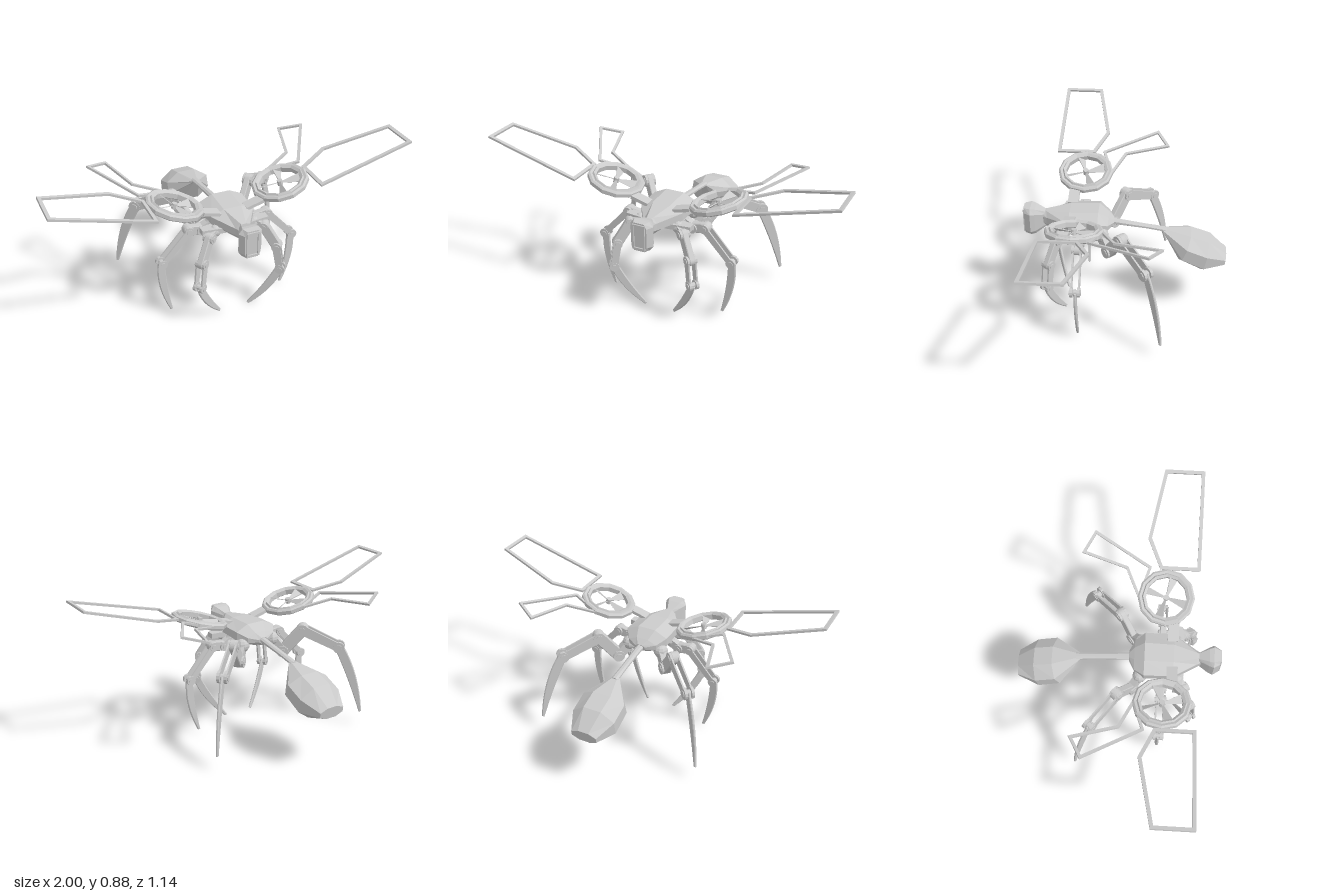
import * as THREE from 'three';

const mat = new THREE.MeshStandardMaterial({ color: 0xcccccc, flatShading: true, side: THREE.DoubleSide });

function add(parent, name, geometry, x = 0, y = 0, z = 0) {
  const mesh = new THREE.Mesh(geometry, mat);
  mesh.name = name;
  mesh.position.set(x, y, z);
  parent.add(mesh);
  return mesh;
}

// Eight-sided loft, front to back. Section: [topZ, topY, bottomZ, bottomY, halfWidth]
// corner is the share of each side left flat between the chamfers
function loft(sections, corner = 0.414) {
  const c = corner, n = 8, pos = [], idx = [];
  const ring = [[1, c], [c, 1], [-c, 1], [-1, c], [-1, -c], [-c, -1], [c, -1], [1, -c]];
  for (const [tz, ty, bz, by, w] of sections) {
    for (const [u, v] of ring) {
      pos.push(u * w, (ty + by) / 2 + (ty - by) * v / 2, (tz + bz) / 2 + (tz - bz) * v / 2);
    }
  }
  const last = (sections.length - 1) * n;
  for (let i = 0; i < last; i += n) {
    for (let j = 0; j < n; j++) {
      const a = i + j, b = i + (j + 1) % n;
      idx.push(a, a + n, b, b, a + n, b + n);
    }
  }
  for (let j = 1; j < n - 1; j++) idx.push(0, j, j + 1, last, last + j + 1, last + j);
  const g = new THREE.BufferGeometry();
  g.setAttribute('position', new THREE.Float32BufferAttribute(pos, 3));
  g.setIndex(idx);
  const flat = g.toNonIndexed();
  flat.computeVertexNormals();
  return flat;
}

const polygon = coords => new THREE.Shape(coords.map(([x, y]) => new THREE.Vector2(x, y)));

// Extrusion centred on its depth
function plate(shape, depth, bevel = 0) {
  const g = new THREE.ExtrudeGeometry(shape, {
    depth, curveSegments: 8, bevelEnabled: bevel > 0, bevelSize: bevel, bevelThickness: bevel, bevelSegments: 1,
  });
  return g.translate(0, 0, -depth / 2);
}

// Flat closed frame with mitred inner corners
function frame(coords, width, depth) {
  const p = coords.map(([x, y]) => new THREE.Vector2(x, y));
  if (THREE.ShapeUtils.isClockWise(p)) p.reverse();
  const n = p.length;
  const inner = p.map((c, i) => {
    const d1 = c.clone().sub(p[(i + n - 1) % n]).normalize();
    const d2 = p[(i + 1) % n].clone().sub(c).normalize();
    const n1 = new THREE.Vector2(-d1.y, d1.x), n2 = new THREE.Vector2(-d2.y, d2.x);
    return c.clone().add(n1.clone().add(n2).multiplyScalar(width / (1 + n1.dot(n2))));
  });
  const shape = new THREE.Shape(p);
  shape.holes.push(new THREE.Path(inner.reverse()));
  return plate(shape, depth);
}

// Round-ended link between two joints in the plane of a leg
function link(a, b, r1, r2) {
  const t = Math.atan2(b[1] - a[1], b[0] - a[0]), q = Math.PI / 2;
  const s = new THREE.Shape();
  s.absarc(a[0], a[1], r1, t + q, t + 3 * q, false);
  s.absarc(b[0], b[1], r2, t - q, t + q, false);
  return s;
}

// Curved blade from the origin that narrows to a point
function clawShape(tx, ty, w, bulge) {
  const d = new THREE.Vector2(tx, ty).normalize();
  const at = (t, o) => [tx * t - d.y * o, ty * t + d.x * o];
  const s = new THREE.Shape();
  s.moveTo(...at(0, -w * 0.5));
  s.lineTo(...at(0, w * 0.5));
  s.quadraticCurveTo(...at(0.45, bulge + w), ...at(1, 0.004));
  s.lineTo(...at(1, -0.004));
  s.quadraticCurveTo(...at(0.45, bulge - w * 0.4), ...at(0, -w * 0.5));
  return s;
}

// Leg built outward along local x: points are hip, inner joint, knee, ankle, tip
function makeLeg(name, x, z, angle, side, pts, r, bulge, shinWidth, clawYaw = 0) {
  const leg = new THREE.Group();
  leg.name = name;
  leg.position.set(side * x, 0, z);
  leg.rotation.y = side > 0 ? -angle : Math.PI + angle;
  const [hip, inner, knee, ankle, tip] = pts;
  add(leg, 'hipBall', new THREE.SphereGeometry(r * 1.2, 10, 8), hip[0], hip[1]);
  add(leg, 'hipLink', plate(link(hip, inner, r * 0.9, r * 0.8), 0.04));
  add(leg, 'thigh', plate(link(inner, knee, r * 0.9, r * 0.9), 0.026, 0.004));
  for (const s of [-1, 1]) {
    add(leg, 'shinPlate', plate(link(knee, ankle, r * shinWidth, r * shinWidth * 0.85), 0.009), 0, 0, s * 0.021);
  }
  for (const [jx, jy] of [inner, knee, ankle]) {
    add(leg, 'jointPin', new THREE.CylinderGeometry(r * 0.55, r * 0.55, 0.064, 10).rotateX(Math.PI / 2), jx, jy);
    for (const s of [-1, 1]) {
      add(leg, 'jointDisc', new THREE.CylinderGeometry(r, r, 0.016, 12).rotateX(Math.PI / 2), jx, jy, s * 0.02);
    }
  }
  const shape = clawShape(tip[0] - ankle[0], tip[1] - ankle[1], r * 1.3, bulge);
  add(leg, 'claw', plate(shape, 0.006, 0.004), ankle[0], ankle[1]).rotation.y = side * clawYaw;
  return leg;
}

// Tilted assembly of fan ring, front wing frame and rear wing frame
function makeWing(side) {
  const cx = 0.305, cz = 0.253, tilt = 0.268;
  const wing = new THREE.Group();
  wing.name = side > 0 ? 'leftWing' : 'rightWing';
  wing.position.set(side * cx, 0.682, cz);
  wing.rotation.z = side * tilt;

  const outline = pts => pts.map(([x, z]) => [side * (x - cx) / Math.cos(tilt), z - cz]);
  const front = outline([[0.455, 0.435], [0.998, 0.435], [0.998, 0.213], [0.62, 0.138], [0.455, 0.213]]);
  const rear = outline([[0.467, 0.165], [0.65, -0.155], [0.525, -0.224], [0.45, 0.025], [0.28, 0.105]]);
  add(wing, 'frontWingFrame', frame(front, 0.019, 0.012).rotateX(Math.PI / 2));
  add(wing, 'rearWingFrame', frame(rear, 0.015, 0.012).rotateX(Math.PI / 2));

  const profile = [[0.113, -0.014], [0.128, -0.023], [0.134, -0.014], [0.148, -0.018], [0.158, -0.01],
    [0.158, 0.01], [0.148, 0.018], [0.134, 0.014], [0.128, 0.023], [0.113, 0.014], [0.113, -0.014]];
  add(wing, 'fanRing', new THREE.LatheGeometry(profile.map(p => new THREE.Vector2(...p)), 12));

  // Fan
  add(wing, 'fanHub', new THREE.CylinderGeometry(0.016, 0.016, 0.03, 8));
  const blade = polygon([[0.01, -0.005], [0.115, -0.027], [0.115, 0.027], [0.01, 0.005]]);
  for (let i = 0; i < 4; i++) {
    const g = plate(blade, 0.004).rotateX(Math.PI / 2 + 0.6).rotateY(i * Math.PI / 2 + side * 1.25);
    add(wing, 'fanBlade', g);
  }
  // Arm to the body
  add(wing, 'wingArm', new THREE.BoxGeometry(0.1, 0.018, 0.06), -side * 0.19, -0.006, 0.05);
  return wing;
}

export function createModel() {
  const model = new THREE.Group();
  model.name = 'mechanicalInsect';

  // Body from front to back
  add(model, 'head', loft([
    [0.564, 0.635, 0.564, 0.475, 0.044], [0.53, 0.637, 0.53, 0.473, 0.065],
    [0.505, 0.632, 0.505, 0.476, 0.054], [0.445, 0.608, 0.445, 0.515, 0.022],
  ], 0.68));
  add(model, 'faceFrame', frame([[-0.036, 0.485], [0.036, 0.485], [0.036, 0.627], [-0.036, 0.627]], 0.01, 0.012), 0, 0, 0.565);
  add(model, 'thorax', loft([
    [0.48, 0.605, 0.48, 0.52, 0.02], [0.44, 0.612, 0.44, 0.515, 0.04],
    [0.31, 0.63, 0.31, 0.525, 0.122], [0.15, 0.635, 0.15, 0.515, 0.125],
    [0.095, 0.595, 0.1, 0.52, 0.085], [0.065, 0.57, 0.07, 0.535, 0.03],
  ]));
  add(model, 'waistRod', loft([
    [0.09, 0.572, 0.09, 0.54, 0.02], [-0.12, 0.538, -0.12, 0.515, 0.017], [-0.23, 0.522, -0.23, 0.497, 0.02],
  ]));
  add(model, 'abdomen', loft([
    [-0.2, 0.52, -0.21, 0.503, 0.018], [-0.365, 0.5, -0.3, 0.345, 0.125],
    [-0.47, 0.465, -0.43, 0.28, 0.125], [-0.567, 0.38, -0.555, 0.315, 0.075],
  ]));

  const shoulder = polygon([[-0.07, -0.04], [0.07, -0.022], [0.07, 0.022], [-0.07, 0.04]]);
  for (const side of [1, -1]) {
    const label = side > 0 ? 'left' : 'right';
    model.add(makeWing(side));
    model.add(makeLeg(label + 'FrontLeg', 0.12, 0.345, 0.61, side,
      [[-0.01, 0.53], [0.045, 0.515], [0.12, 0.395], [0.143, 0.255], [-0.025, 0.004]], 0.027, 0.018, 0.8, 0.12));
    model.add(makeLeg(label + 'MiddleLeg', 0.12, 0.25, 0, side,
      [[-0.02, 0.53], [0.04, 0.5], [0.11, 0.51], [0.265, 0.34], [0.215, 0.018]], 0.027, 0.022, 0.7));
    model.add(makeLeg(label + 'HindLeg', 0.1, 0.13, -0.724, side,
      [[0, 0.525], [0.067, 0.452], [0.18, 0.587], [0.39, 0.49], [0.525, 0.09]], 0.034, 0.018, 0.85));
    // Tapered shoulder of the front leg
    const block = plate(shoulder, 0.03).rotateX(Math.PI / 2).rotateY(side > 0 ? 0 : Math.PI);
    add(model, label + 'Shoulder', block, side * 0.12, 0.54, 0.335);
  }
  return model;
}
